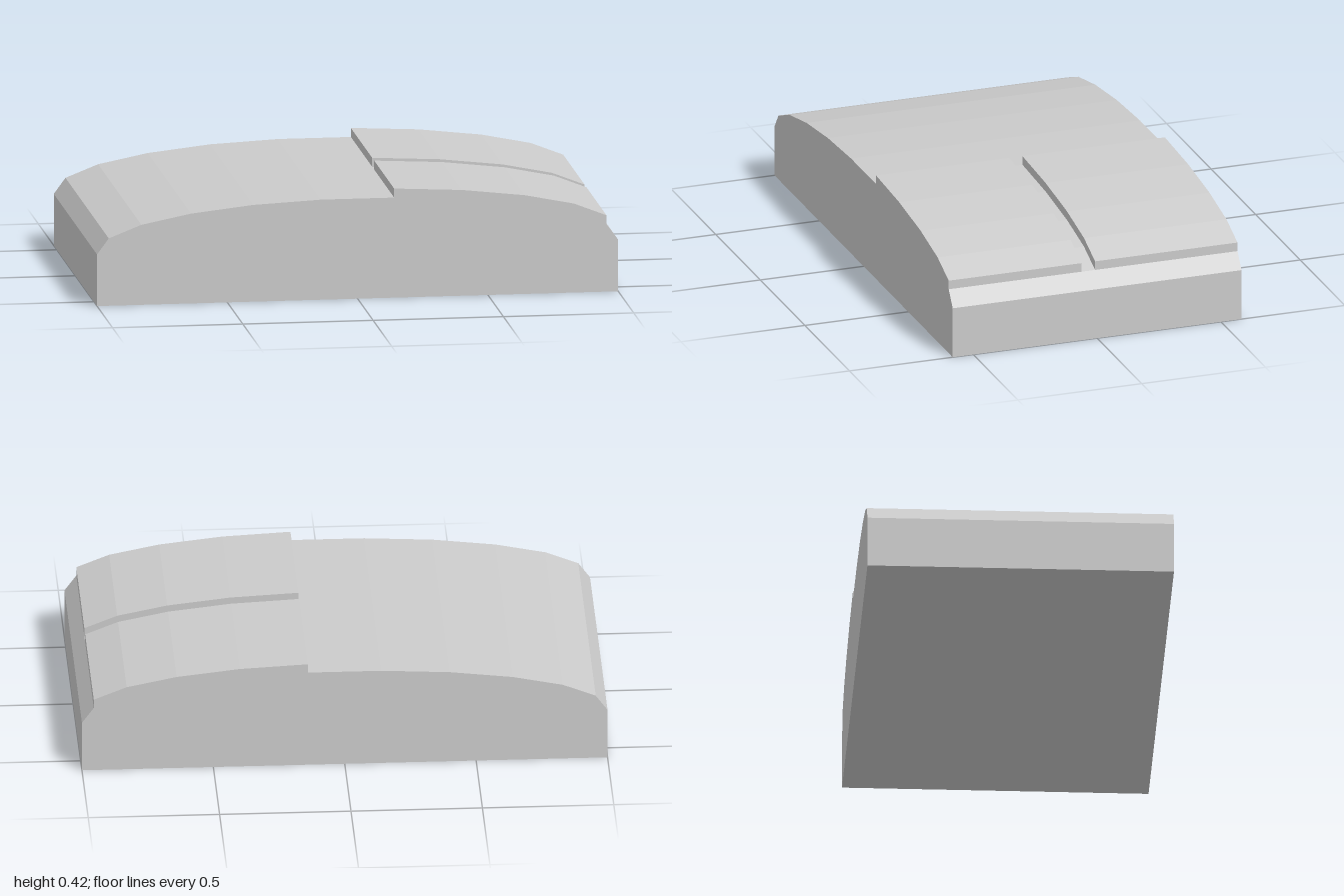
import * as THREE from 'three';

const HALF_DEPTH = 0.583;

// Extrude an x/y profile between two z positions
function slab(name, profile, z0, z1, material) {
  const shape = new THREE.Shape(profile.map(([x, y]) => new THREE.Vector2(x, y)));
  const geometry = new THREE.ExtrudeGeometry(shape, { depth: z1 - z0, bevelEnabled: false });
  geometry.translate(0, 0, z0);
  const mesh = new THREE.Mesh(geometry, material);
  mesh.name = name;
  return mesh;
}

export function createModel() {
  const group = new THREE.Group();
  group.name = 'mouse';
  const material = new THREE.MeshStandardMaterial({ color: 0xcccccc, flatShading: true });

  // Half of the symmetric arched top, from the middle outwards
  const arch = [[0.14, 0.388], [0.4, 0.375], [0.64, 0.348], [0.83, 0.31], [0.955, 0.261]];
  const mirrored = arch.map(([x, y]) => [-x, y]);

  // Body with upright ends and a domed top
  const bodyProfile = [[-1, 0], [1, 0], [1, 0.2], ...[...arch].reverse(), ...mirrored, [-1, 0.2]];
  group.add(slab('body', bodyProfile, -HALF_DEPTH, HALF_DEPTH, material));

  // Two raised buttons following the arch, with a narrow channel between them
  const raised = arch.map(([x, y]) => [x, y + 0.035]);
  const buttonProfile = [...arch, ...raised.reverse()].reverse();
  group.add(slab('frontButton', buttonProfile, 0.046, HALF_DEPTH, material));
  group.add(slab('backButton', buttonProfile, -HALF_DEPTH, -0.008, material));

  return group;
}
